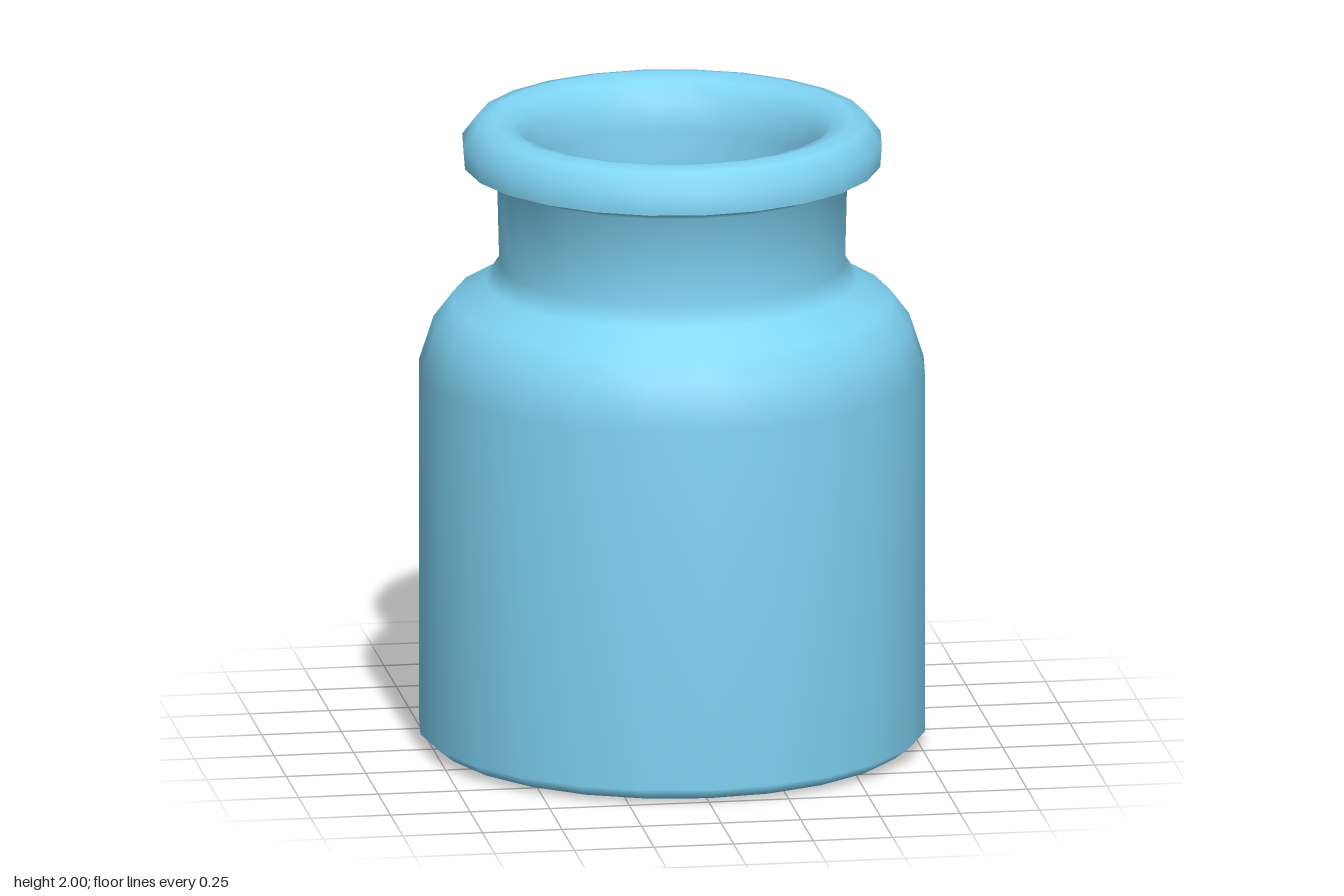
import * as THREE from 'three';

const SIDES = 24;

// Revolves a profile of [radius, height] pairs about the y axis
function lathe(name, profile, material) {
  const points = profile.map(([r, y]) => new THREE.Vector2(r, y));
  const mesh = new THREE.Mesh(new THREE.LatheGeometry(points, SIDES), material);
  mesh.name = name;
  return mesh;
}

export function createModel() {
  const jar = new THREE.Group();
  jar.name = 'jar';
  const glass = new THREE.MeshStandardMaterial({ color: 0x7fd4f5, side: THREE.DoubleSide });

  // Outside: base, straight wall, shoulder, neck and underside of the lip
  jar.add(lathe('body', [
    [0, 0], [0.74, 0.01], [0.79, 0.05], [0.79, 1.2], [0.745, 1.34], [0.685, 1.42],
    [0.58, 1.48], [0.54, 1.54], [0.547, 1.82], [0.65, 1.86],
  ], glass));

  // Rolled lip, then down the inside of the neck to the rounded floor
  jar.add(lathe('lipAndInterior', [
    [0.65, 1.86], [0.655, 1.93], [0.61, 1.99], [0.56, 2], [0.5, 1.985], [0.455, 1.93],
    [0.438, 1.84], [0.428, 1.54], [0.47, 1.43], [0.59, 1.36], [0.66, 1.28], [0.7, 1.17],
    [0.7, 0.16], [0.64, 0.1], [0, 0.07],
  ], glass));

  return jar;
}
